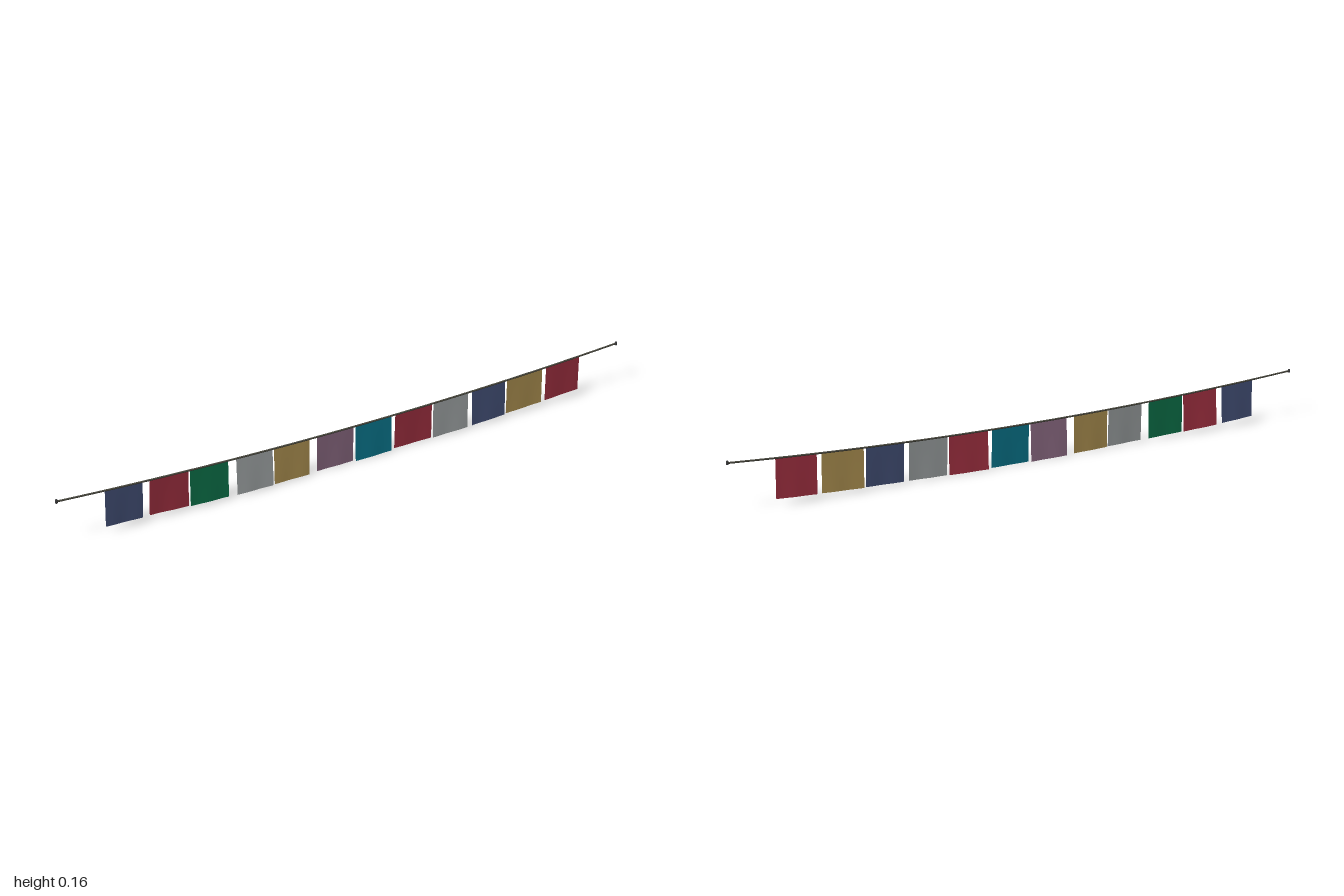
import * as THREE from 'three';

const mat = (name, color, side = THREE.FrontSide) => {
  const m = new THREE.MeshStandardMaterial({ color, side });
  m.name = name;
  return m;
};

// Height of the sagging rope and its slope at x
const ropeY = (x) => 0.127 + 0.033 * x * x;
const ropeSlope = (x) => 0.066 * x;

const FLAG_HEIGHT = 0.125;

// Cloth flag between x0 and x1: hangs square to the rope, swings and ripples towards its lower edge
function flagGeometry(x0, x1, swingLeft, swingRight, phase) {
  const geo = new THREE.PlaneGeometry(1, 1, 10, 4);
  const pos = geo.attributes.position;
  const slope = ropeSlope((x0 + x1) / 2);
  for (let i = 0; i < pos.count; i++) {
    const u = pos.getX(i) + 0.5;
    const drop = 0.5 - pos.getY(i);
    const x = THREE.MathUtils.lerp(x0, x1, u);
    const swing = THREE.MathUtils.lerp(swingLeft, swingRight, u);
    const ripple = 0.0007 * Math.sin(u * 9 + phase);
    pos.setXYZ(
      i,
      x + slope * drop * FLAG_HEIGHT * 0.5,
      Math.max(0, ropeY(x) - drop * FLAG_HEIGHT),
      drop * (swing + ripple)
    );
  }
  geo.computeVertexNormals();
  return geo;
}

export function createModel() {
  const model = new THREE.Group();
  model.name = 'flagGarland';

  const cloth = {};
  const palette = {
    navy: 0x45527a, red: 0xa43142, green: 0x0c734a, grey: 0xa0a5a6,
    gold: 0xb09352, mauve: 0x8f6d86, teal: 0x08788f,
  };
  for (const [name, hex] of Object.entries(palette)) {
    cloth[name] = mat(name + 'Cloth', hex, THREE.DoubleSide);
  }
  const ropeMat = mat('darkRope', 0x47463c);
  const endMat = mat('charcoalEnd', 0x3c3c3e);

  // Rope
  const points = [];
  for (let i = 0; i <= 16; i++) {
    const x = -0.998 + (1.996 * i) / 16;
    points.push(new THREE.Vector3(x, ropeY(x), 0));
  }
  const rope = new THREE.Mesh(
    new THREE.TubeGeometry(new THREE.CatmullRomCurve3(points), 48, 0.003, 8), ropeMat);
  rope.name = 'rope';
  model.add(rope);

  // Small stops at both rope ends
  for (const side of [-1, 1]) {
    const stop = new THREE.Mesh(new THREE.CylinderGeometry(0.004, 0.004, 0.011, 12), endMat);
    stop.name = side > 0 ? 'leftEndStop' : 'rightEndStop';
    stop.position.set(side * 0.996, 0.16, 0);
    model.add(stop);
  }

  // Flags: colour, left edge, right edge, swing of the two lower corners
  const flags = [
    ['navy', -0.845, -0.724, -0.002, -0.004],
    ['red', -0.702, -0.574, -0.007, -0.003],
    ['green', -0.570, -0.442, 0.001, 0.002],
    ['grey', -0.415, -0.291, 0.006, 0.005],
    ['gold', -0.286, -0.163, 0.002, 0.001],
    ['mauve', -0.136, -0.006, -0.004, -0.004],
    ['teal', 0.000, 0.131, 0.003, 0.002],
    ['red', 0.145, 0.280, -0.006, -0.003],
    ['grey', 0.285, 0.415, 0.001, 0.003],
    ['navy', 0.431, 0.558, 0.002, 0.001],
    ['gold', 0.565, 0.702, -0.003, -0.002],
    ['red', 0.717, 0.848, -0.004, -0.004],
  ];
  flags.forEach(([color, x0, x1, a, b], i) => {
    const flag = new THREE.Mesh(flagGeometry(x0, x1, a, b, i * 1.7), cloth[color]);
    flag.name = `${color}Flag${i + 1}`;
    model.add(flag);
  });

  return model;
}
